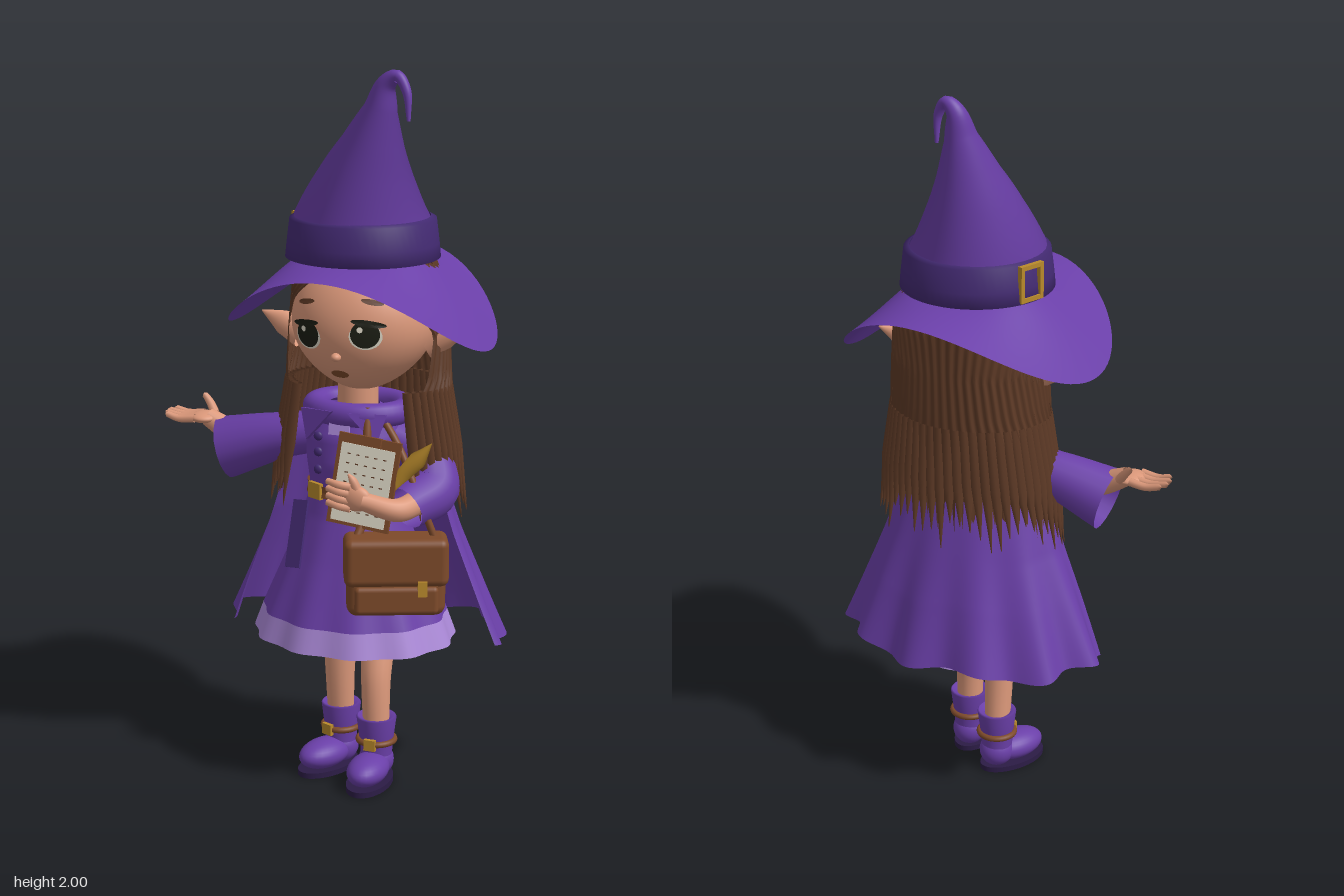
import * as THREE from 'three';
import { ParametricGeometry } from 'three/addons/geometries/ParametricGeometry.js';
import { RoundedBoxGeometry } from 'three/addons/geometries/RoundedBoxGeometry.js';

const paint = (name, color) => new THREE.MeshStandardMaterial({ name, color, side: THREE.DoubleSide });
const V = (p) => new THREE.Vector3(...p);
const { sin, cos, PI, sqrt, max } = Math;

// Piecewise linear lookup; rows are [key, a, b, ...] with falling keys
function look(rows, k) {
  if (k >= rows[0][0]) return rows[0].slice(1);
  for (let i = 1; i < rows.length; i++) {
    const p = rows[i - 1], q = rows[i];
    if (k >= q[0]) return p.slice(1).map((v, j) => v + (q[j + 1] - v) * (p[0] - k) / (p[0] - q[0]));
  }
  return rows[rows.length - 1].slice(1);
}
const noise = (n) => { const s = sin(n * 127.1 + 3.7) * 43758.5453; return s - Math.floor(s); };

export function createModel() {
  const model = new THREE.Group();
  const purple = paint('purple cloth', 0x6a3fa8), dark = paint('dark purple', 0x432a72);
  const lilac = paint('lilac hem', 0xab89d8), skin = paint('skin', 0xdb987a);
  const hair = paint('brown hair', 0x5e3a26), leather = paint('leather', 0x7d4a2a);
  const gold = paint('gold', 0xb98a2c), cream = paint('cream paper', 0xe2dccb);
  const black = paint('eye black', 0x1c1e14), sole = paint('sole', 0x2c1c46);

  function add(name, geo, mat, pos = [0, 0, 0], rot = [0, 0, 0], scale = [1, 1, 1], parent = model) {
    const m = new THREE.Mesh(geo, mat);
    m.name = name;
    m.position.set(...pos); m.rotation.set(...rot); m.scale.set(...scale);
    parent.add(m);
    return m;
  }
  const group = (name, pos, rot = [0, 0, 0]) => {
    const g = new THREE.Group();
    g.name = name; g.position.set(...pos); g.rotation.set(...rot);
    model.add(g);
    return g;
  };
  const ball = (name, mat, pos, scale, parent, rot) =>
    add(name, new THREE.SphereGeometry(1, 28, 18), mat, pos, rot, scale, parent);
  const box = (name, mat, size, pos, rot, parent) => add(name, new THREE.BoxGeometry(...size), mat, pos, rot, undefined, parent);
  const shell = (name, mat, f, nu = 72, nv = 16) =>
    add(name, new ParametricGeometry((u, v, t) => t.set(...f(u, v)), nu, nv), mat);

  // Round limb whose radius follows a list, one radius per point
  function taper(name, mat, pts, radii, parent = model, n = 24, sides = 16) {
    const curve = new THREE.CatmullRomCurve3(pts.map(V));
    const geo = new THREE.TubeGeometry(curve, n, 1, sides), pos = geo.attributes.position, p = new THREE.Vector3();
    for (let i = 0; i <= n; i++) {
      const c = curve.getPointAt(i / n), k = curve.getUtoTmapping(i / n) * (radii.length - 1);
      const j = Math.min(Math.floor(k), radii.length - 2), r = radii[j] + (radii[j + 1] - radii[j]) * (k - j);
      for (let s = 0; s <= sides; s++) {
        const id = i * (sides + 1) + s;
        p.fromBufferAttribute(pos, id).sub(c).multiplyScalar(r).add(c);
        pos.setXYZ(id, p.x, p.y, p.z);
      }
    }
    return add(name, geo, mat, [0, 0, 0], [0, 0, 0], [1, 1, 1], parent);
  }

  // Hat: curled cone, band, buckle and saddle-shaped brim
  taper('hatCone', purple,
    [[.078, 1.5, 0], [.078, 1.61, 0], [.09, 1.72, 0], [.107, 1.81, 0], [.127, 1.9, 0], [.143, 1.965, 0], [.175, 1.988, .004], [.203, 1.95, .01], [.21, 1.87, .01]],
    [.2, .187, .132, .086, .046, .027, .016, .013, .005], model, 70, 40);
  add('hatBand', new THREE.LatheGeometry([[.19, 1.5], [.212, 1.5], [.208, 1.54], [.2, 1.605], [.184, 1.612]].map((p) => new THREE.Vector2(...p)), 56), dark, [.078, 0, 0]);
  shell('hatBrim', purple, (u, v) => {
    const a = u * 2 * PI, r = .16 + .21 * v, c = cos(a);
    return [.078 + r * c, 1.505 - .018 * v - (.205 + .015 * c) * c * c * v ** 1.25, r * sin(a) * .98];
  }, 80, 14);
  const buckle = group('hatBuckle', [-.122, 1.555, -.058], [0, -PI / 2 - .3, 0]);
  for (const s of [-1, 1]) {
    box('buckleSide', gold, [.012, .1, .014], [s * .034, 0, 0], undefined, buckle);
    box('buckleBar', gold, [.08, .012, .014], [0, s * .045, 0], undefined, buckle);
  }

  // Head with a narrowed chin
  const H = [.08, 1.32, 0], R = [.2, .19, .18];
  const headGeo = new THREE.SphereGeometry(1, 40, 28), hp = headGeo.attributes.position;
  for (let i = 0; i < hp.count; i++) {
    const y = hp.getY(i), k = y < 0 ? 1 - .22 * y * y : 1;
    hp.setX(i, hp.getX(i) * k);
  }
  headGeo.computeVertexNormals();
  add('head', headGeo, skin, H, undefined, R);
  ball('nose', skin, [.065, 1.25, .172], [.014, .012, .016]);
  taper('neck', skin, [[.065, 1.0, 0], [.065, 1.17, 0]], [.06, .055]);
  for (const s of [-1, 1]) taper('ear', skin, [[.08 + s * .18, 1.265, 0], [.08 + s * .24, 1.295, -.01], [.08 + s * .31, 1.32, -.03]], [.04, .035, .002]).scale.z = .7;

  // Thin ovals wrapped on the face
  function facePlate(name, mat, x, y, rx, ry, lift, tilt = 0) {
    const g = new THREE.CircleGeometry(1, 28).scale(rx, ry, 1).rotateZ(tilt).translate(x, y, 0), p = g.attributes.position;
    for (let i = 0; i < p.count; i++) {
      const dx = (p.getX(i) - H[0]) / R[0], dy = (p.getY(i) - H[1]) / R[1];
      p.setZ(i, R[2] * sqrt(max(0, 1 - dx * dx - dy * dy)) + lift);
    }
    g.computeVertexNormals();
    add(name, g, mat);
  }
  for (const [x, y, s] of [[-.022, 1.305, -1], [.148, 1.318, 1]]) {
    facePlate('eyeWhite', cream, x, y - .006, .043, .036, .003);
    facePlate('eyeIris', black, x, y, .038, .037, .006);
    facePlate('eyeLash', black, x + s * .008, y + .03, .046, .009, .007, -s * .15);
    facePlate('eyeGlint', cream, x - .012, y + .014, .008, .008, .009);
    facePlate('eyebrow', hair, x + s * .012, y + .085, .03, .007, .005, -s * .2);
  }
  facePlate('mouth', leather, .065, 1.197, .026, .012, .005);

  // Long hair, parted over the forehead, with a ragged hem
  const hairSize = [[1.55, .05, .04], [1.5, .18, .16], [1.42, .213, .188], [1.3, .225, .185], [1.1, .238, .18], [.95, .262, .175], [.78, .285, .175]];
  const hairEdge = [[1.5, 1.5], [1.45, 1.15], [1.38, .65], [1.3, .35], [1.18, .5], [1.08, .8], [.9, .85]];
  shell('hair', hair, (u, v) => {
    const y = 1.55 - (.7 - .13 * noise(Math.round(u * 200)) + .02 * sin(u * 30)) * v;
    const [rx, rz] = look(hairSize, y), [e] = look(hairEdge, y);
    const a = PI - e * .92 + u * (PI + e * 1.92), g = 1 + .012 * sin(u * 230);
    return [.085 + rx * g * cos(a), y, -.03 + rz * g * sin(-a) * -1];
  }, 200, 28);
  for (let i = 0; i < 44; i++) {
    const a = PI - .75 + i / 43 * (PI + 1.55), at = (y, k) => {
      const [rx, rz] = look(hairSize, y);
      return [.085 + rx * k * cos(a), y, -.03 + rz * k * sin(a)];
    };
    taper('hairLock', hair, [at(1.15, .96), at(.98, .99), at(.78 + .09 * noise(i), 1.01)], [.014, .017, .001], model, 8, 5);
  }

  // Dress, hem and belt
  const dressSize = [[1.09, .07, .06], [1.06, .13, .085], [1.0, .145, .11], [.92, .135, .118], [.85, .125, .112], [.78, .145, .128], [.65, .195, .168], [.49, .262, .222], [.42, .287, .24]];
  const dressBand = (name, mat, y0, y1, grow = 0) => shell(name, mat, (u, v) => {
    const y = y0 + (y1 - y0) * v, a = u * 2 * PI, [rx, rz] = look(dressSize, y);
    const w = 1 + .025 * max(0, (.85 - y) / .43) * sin(a * 11);
    return [.06 + (rx * w + grow) * cos(a), y, .01 + (rz * w + grow) * sin(a)];
  }, 88, 24);
  dressBand('dress', purple, 1.09, .49);
  dressBand('dressHem', lilac, .49, .42);
  dressBand('belt', leather, .868, .835, .007);
  box('beltBuckle', gold, [.05, .045, .012], [-.02, .852, .108], [0, -.5, 0]);
  box('beltTail', dark, [.05, .19, .008], [-.07, .725, .122], [-.37, -.3, 0]);
  for (const y of [.915, .965, 1.01]) ball('button', dark, [-.01, y, .112], [.013, .013, .008]);

  // Rolled collar with two points
  add('collar', new THREE.TorusGeometry(.128, .034, 16, 48), purple, [.07, 1.075, 0], [PI / 2, 0, 0], [1, .82, 1]);
  for (const s of [-1, 1]) {
    const tri = new THREE.Shape([[-.055, .03], [.055, .03], [s * .03, -.055]].map((p) => new THREE.Vector2(...p)));
    add('collarPoint', new THREE.ExtrudeGeometry(tri, { depth: .012, bevelEnabled: false }), purple, [.06 + s * .07, 1.055, .112], [-.15, s * .35, 0]);
  }
  box('shirtFront', lilac, [.06, .05, .008], [.055, 1.045, .118], [-.2, 0, 0]);

  // Open cape with folds
  const capeSize = [[1.09, .12, .09], [1.05, .17, .11], [.97, .205, .13], [.75, .275, .195], [.6, .335, .238], [.435, .4, .28]];
  shell('cape', purple, (u, v) => {
    const y = 1.09 - .655 * v, a = PI - .2 + u * (PI + .4), [rx, rz] = look(capeSize, y);
    const w = 1 + .05 * v * v * sin(a * 12);
    return [.085 + rx * w * cos(a), y + .012 * v * sin(a * 6), rz * w * sin(a)];
  }, 96, 24);

  // Outstretched arm with open palm
  taper('rightSleeve', purple, [[-.02, 1.0, 0], [-.16, .975, .02], [-.32, .93, .035]], [.058, .066, .09]);
  taper('rightForearm', skin, [[-.22, .95, .03], [-.31, .98, .035], [-.375, 1.012, .036]], [.035, .034, .026]);
  ball('rightPalm', skin, [-.385, 1.012, .036], [.042, .016, .046]);
  for (let i = 0; i < 4; i++) {
    const z = .002 + i * .024, tip = -.495 - .01 * sin(i * 1.2);
    taper('rightFinger', skin, [[-.4, 1.014, z], [-.45, 1.01, z], [tip + .005, 1.02, z], [tip, 1.021, z]], [.012, .011, .009, .001], model, 12, 8);
  }
  taper('rightThumb', skin, [[-.37, 1.015, 0], [-.39, 1.04, -.015], [-.41, 1.062, -.02], [-.413, 1.065, -.02]], [.014, .012, .009, .001], model, 12, 8);

  // Bent arm holding the clipboard
  taper('leftSleeve', purple, [[.15, 1.0, 0], [.26, .95, 0], [.3, .875, .05], [.255, .84, .14]], [.058, .066, .076, .062]);
  taper('leftForearm', skin, [[.28, .85, .1], [.24, .84, .17], [.15, .865, .2]], [.035, .032, .025]);
  ball('leftPalm', skin, [.135, .87, .2], [.042, .036, .02]);
  for (let i = 0; i < 4; i++) {
    const y = .842 + i * .02;
    taper('leftFinger', skin, [[.12, y, .205], [.085, y + .006, .212], [.05, y + .01, .2], [.047, y + .01, .198]], [.012, .011, .009, .001], model, 12, 8);
  }
  taper('leftThumb', skin, [[.14, .89, .2], [.125, .92, .2], [.11, .935, .195]], [.014, .012, .003], model, 12, 8);

  // Clipboard and quill
  const clip = group('clipboard', [.142, .905, .158], [-.16, 0, -.1]);
  box('board', leather, [.18, .25, .012], [0, 0, 0], undefined, clip);
  box('paper', cream, [.155, .215, .004], [0, -.008, .008], undefined, clip);
  box('boardClip', leather, [.07, .025, .014], [0, .115, .01], undefined, clip);
  for (let i = 0; i < 7; i++) for (let j = 0; j < 5; j++)
    box('writing', hair, [.009, .003, .002], [-.052 + j * .026, .072 - i * .026, .0105], undefined, clip);
  taper('quill', gold, [[.215, .88, .15], [.25, .935, .145], [.29, .98, .14], [.325, 1.025, .13]], [.004, .02, .024, .001]);

  // Satchel and strap
  const bag = group('satchel', [.235, .65, .16], [0, .4, 0]);
  add('bagBody', new RoundedBoxGeometry(.27, .2, .1, 4, .03), leather, [0, -.005, 0], undefined, undefined, bag);
  add('bagFlap', new RoundedBoxGeometry(.285, .135, .112, 4, .022), leather, [0, .05, .004], undefined, undefined, bag);
  add('bagPocket', new RoundedBoxGeometry(.23, .08, .03, 3, .014), leather, [0, -.055, .045], undefined, undefined, bag);
  box('bagClasp', gold, [.026, .042, .012], [.07, -.018, .062], undefined, bag);
  taper('frontStrap', leather, [[.13, .74, .2], [.15, .85, .14], [.14, 1.0, .13], [.13, 1.1, .1]], [.012, .012, .012, .012]);
  taper('backStrap', leather, [[.34, .74, .12], [.29, .87, .13], [.22, 1.0, .1], [.14, 1.1, .07]], [.01, .01, .01, .01]);

  // Legs and boots
  for (const [side, x, z, hipX, turn] of [['right', .01, -.015, .015, -.4], ['left', .142, .05, .13, 0]]) {
    taper(side + 'Leg', skin, [[hipX, .6, 0], [hipX, .42, .005], [(hipX + x) / 2, .29, z * .6 + .01], [x, .12, z]], [.056, .05, .042, .036]);
    const b = group(side + 'Boot', [x, 0, z], [0, turn, 0]);
    add('bootCuff', new THREE.LatheGeometry([[.045, .06], [.046, .1], [.05, .13], [.057, .185], [.053, .19], [.036, .18]].map((p) => new THREE.Vector2(...p)), 28), purple, undefined, undefined, undefined, b);
    ball('bootFoot', purple, [0, .05, .068], [.056, .042, .09], b);
    ball('bootHeel', purple, [0, .055, 0], [.05, .05, .052], b);
    add('bootSole', new THREE.CylinderGeometry(1, 1, .016, 36), sole, [0, .008, .055], undefined, [.06, 1, .108], b);
    add('bootStrap', new THREE.TorusGeometry(.051, .009, 10, 32), leather, [0, .117, 0], [PI / 2, 0, 0], undefined, b);
    box('bootBuckle', gold, [.034, .032, .012], [0, .117, .056], undefined, b);
  }
  return model;
}
